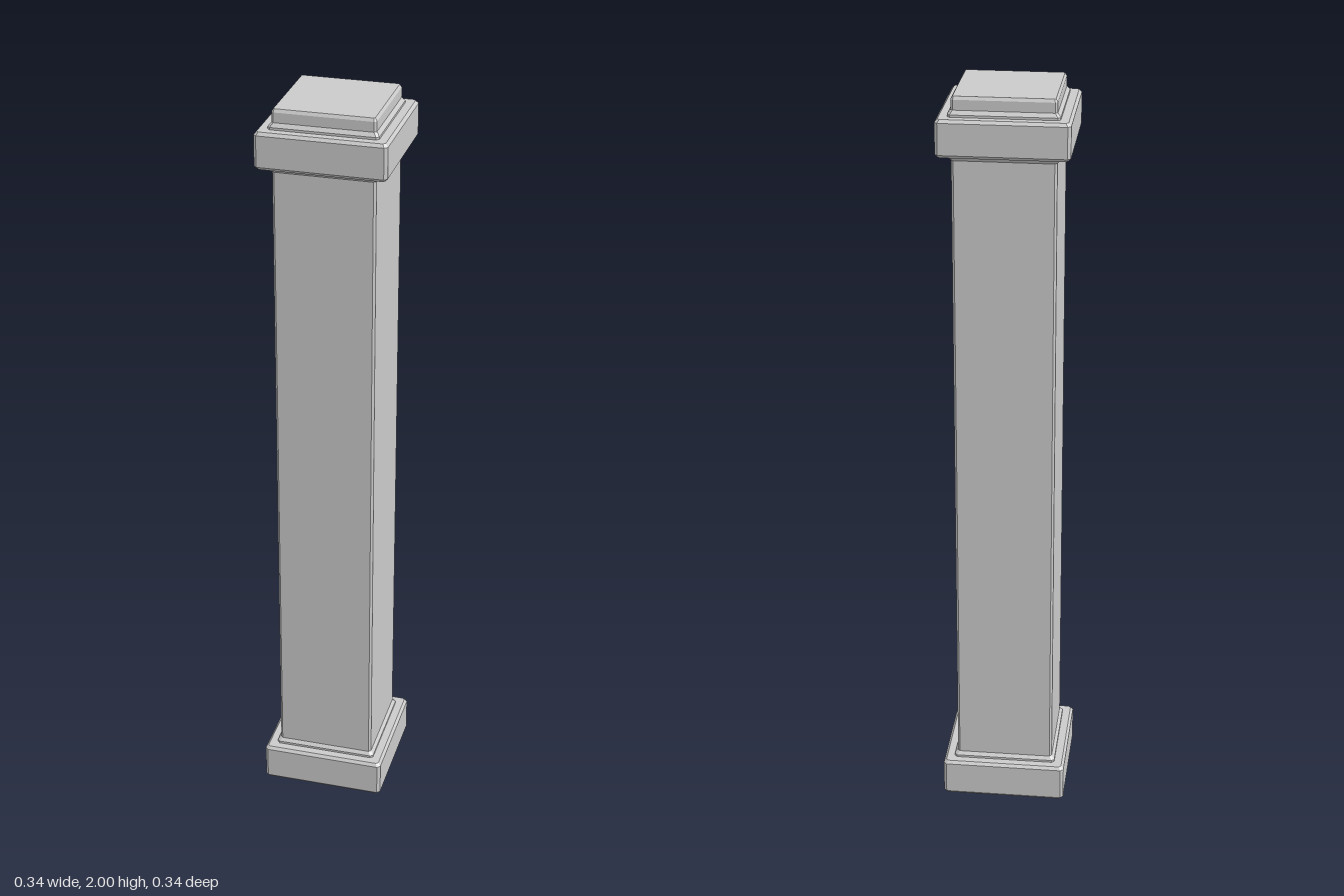
import * as THREE from 'three';

const material = new THREE.MeshStandardMaterial({ color: 0xcccccc, flatShading: true });

// Square with cut corners, half width h, corner cut c, at height y
function ring(y, h, c) {
  const k = h - c;
  return [[h, -k], [h, k], [k, h], [-k, h], [-h, k], [-h, -k], [-k, -h], [k, -h]]
    .map(([x, z]) => new THREE.Vector3(x, y, z));
}

// Skin a bottom-to-top profile of [y, halfWidth, cornerCut] and cap both ends
function squareStack(name, profile) {
  const rings = profile.map((p) => ring(...p));
  const points = [];
  const n = 8;
  for (let r = 0; r < rings.length - 1; r++) {
    const lo = rings[r], hi = rings[r + 1];
    for (let i = 0; i < n; i++) {
      const j = (i + 1) % n;
      points.push(lo[i], hi[i], lo[j], lo[j], hi[i], hi[j]);
    }
  }
  const first = rings[0], last = rings[rings.length - 1];
  const bottom = new THREE.Vector3(0, first[0].y, 0);
  const top = new THREE.Vector3(0, last[0].y, 0);
  for (let i = 0; i < n; i++) {
    const j = (i + 1) % n;
    points.push(bottom, first[i], first[j], top, last[j], last[i]);
  }
  const geometry = new THREE.BufferGeometry().setFromPoints(points);
  geometry.computeVertexNormals();
  const mesh = new THREE.Mesh(geometry, material);
  mesh.name = name;
  return mesh;
}

// Bevelled square block between two heights
const block = (name, y0, y1) => squareStack(name, [
  [y0, 0.161, 0.006],
  [y0 + 0.008, 0.168, 0.008],
  [y1 - 0.008, 0.168, 0.008],
  [y1, 0.161, 0.006],
]);

export function createModel() {
  const pillar = new THREE.Group();
  pillar.name = 'pillar';

  // Plinth and collar blocks
  pillar.add(block('base', 0, 0.105));
  pillar.add(block('collar', 1.853, 1.95));

  // Shaft, flaring where it meets the blocks
  pillar.add(squareStack('shaft', [
    [0.105, 0.14, 0.007],
    [0.111, 0.14, 0.007],
    [0.12, 0.132, 0.006],
    [1.838, 0.132, 0.006],
    [1.847, 0.14, 0.007],
    [1.853, 0.14, 0.007],
  ]));

  // Stepped cap on top
  pillar.add(squareStack('cap', [
    [1.95, 0.14, 0.007],
    [1.956, 0.14, 0.007],
    [1.966, 0.132, 0.006],
    [1.992, 0.132, 0.006],
    [2, 0.127, 0.003],
  ]));

  return pillar;
}
